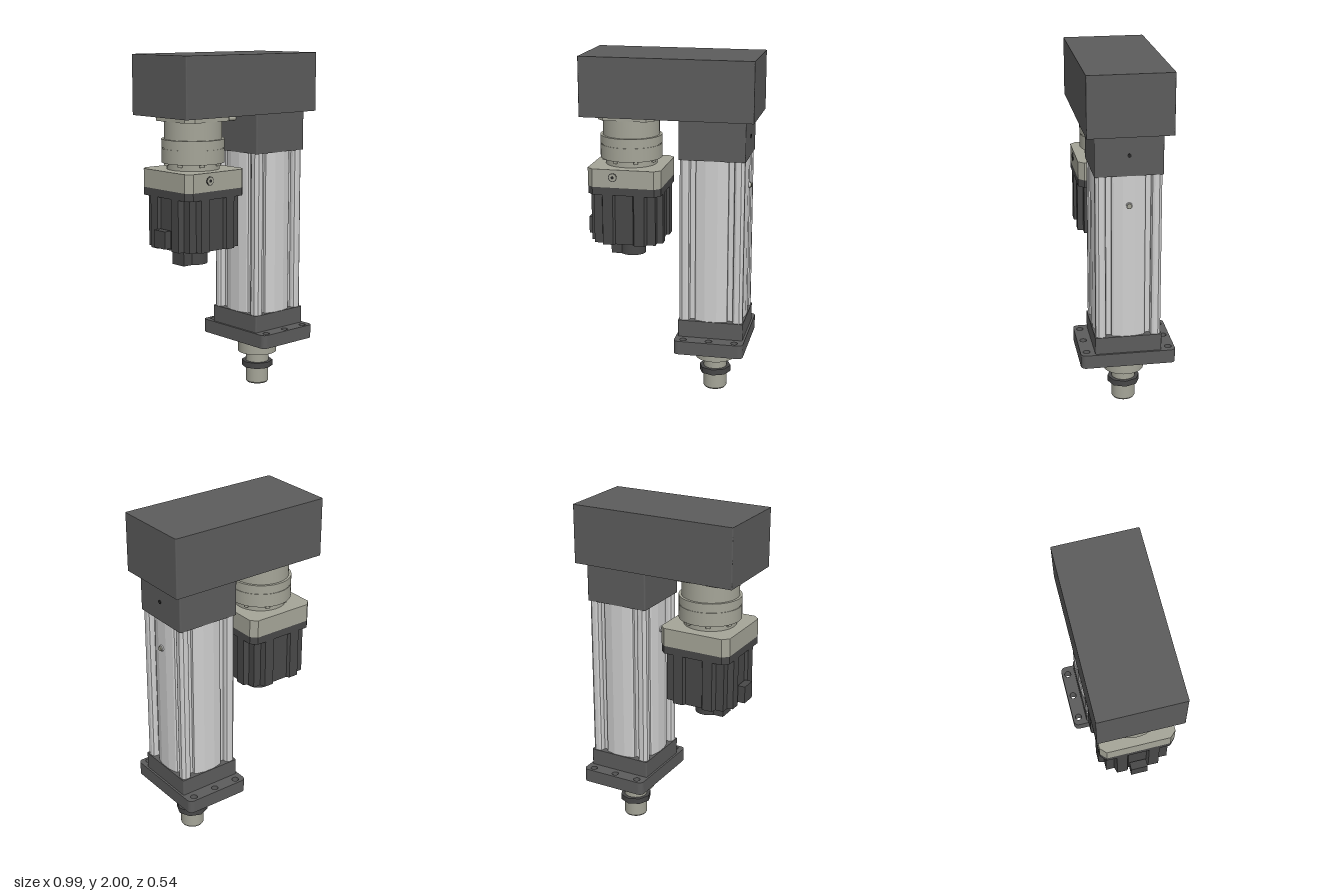
import * as THREE from 'three';

const mat = (name, color) => {
  const m = new THREE.MeshStandardMaterial({ color });
  m.name = name;
  return m;
};

export function createModel() {
  const root = new THREE.Group();
  root.name = 'electricActuator';
  const dark = mat('dark grey housing', 0x5c5c5c);
  const motor = mat('charcoal motor', 0x484848);
  const beige = mat('warm grey metal', 0xa5a598);
  const alu = mat('bright aluminium', 0xcfcfcf);
  const black = mat('black recess', 0x262626);

  const add = (parent, name, geo, material, x = 0, y = 0, z = 0) => {
    const m = new THREE.Mesh(geo, material);
    m.name = name;
    m.position.set(x, y, z);
    parent.add(m);
    return m;
  };
  const box = (p, name, w, y0, y1, d, material, x = 0, z = 0) =>
    add(p, name, new THREE.BoxGeometry(w, y1 - y0, d), material, x, (y0 + y1) / 2, z);
  const cyl = (p, name, r, y0, y1, material, x = 0, z = 0, seg = 48) =>
    add(p, name, new THREE.CylinderGeometry(r, r, y1 - y0, seg), material, x, (y0 + y1) / 2, z);
  // Plan outline extruded upward from y0 to y1
  const prism = (p, name, shape, y0, y1, material) => {
    const g = new THREE.ExtrudeGeometry(shape, { depth: y1 - y0, bevelEnabled: false, curveSegments: 10 });
    return add(p, name, g.rotateX(-Math.PI / 2), material, 0, y0, 0);
  };
  // Half of one side as [along, out], mirrored and turned around four sides
  const fourSided = (half) => {
    const side = [...half, ...half.slice().reverse().map(([u, d]) => [-u, d])];
    const pts = [];
    for (let k = 0; k < 4; k++) {
      for (const [u, d] of side) {
        pts.push(new THREE.Vector2(u, d).rotateAround(new THREE.Vector2(), (k * Math.PI) / 2));
      }
    }
    return new THREE.Shape(pts);
  };
  const roundRect = (w, h, r) => {
    const s = new THREE.Shape();
    s.absarc(w - r, h - r, r, 0, Math.PI / 2);
    s.absarc(-w + r, h - r, r, Math.PI / 2, Math.PI);
    s.absarc(-w + r, -h + r, r, Math.PI, Math.PI * 1.5);
    s.absarc(w - r, -h + r, r, Math.PI * 1.5, Math.PI * 2);
    s.closePath();
    return s;
  };

  // Belt drive housing
  prism(root, 'beltHousing', roundRect(0.495, 0.238, 0.006), 1.66, 2, dark);

  // Linear cylinder
  const cylinder = new THREE.Group();
  cylinder.name = 'linearCylinder';
  cylinder.position.x = 0.255;
  root.add(cylinder);
  prism(cylinder, 'upperBlock', roundRect(0.19, 0.19, 0.008), 1.43, 1.66, dark);
  prism(cylinder, 'lowerBlock', roundRect(0.19, 0.19, 0.008), 0.375, 0.475, dark);
  prism(cylinder, 'groovedBarrel', fourSided([
    [0.178, 0.178], [0.168, 0.185], [0.143, 0.185], [0.131, 0.178], [0.126, 0.165],
    [0.126, 0.148], [0.094, 0.148], [0.094, 0.165], [0.085, 0.172], [0.035, 0.185],
  ]), 0.475, 1.43, alu);

  // Mounting flange with through holes along both long edges
  const plate = roundRect(0.202, 0.272, 0.03);
  for (const x of [-0.15, 0, 0.15]) {
    for (const z of [-0.236, 0.236]) {
      const hole = new THREE.Path();
      hole.absarc(x, z, 0.02, 0, Math.PI * 2, true);
      plate.holes.push(hole);
    }
  }
  prism(cylinder, 'mountingFlange', plate, 0.295, 0.375, dark);
  for (let i = 0; i < 8; i++) {
    const a = ((i + 0.5) * Math.PI) / 4;
    cyl(cylinder, 'flangeScrewRecess', 0.011, 0.293, 0.296, black, 0.165 * Math.cos(a), 0.165 * Math.sin(a), 16);
  }

  // Rod guide and threaded rod end
  const profile = [[0, 0], [0.064, 0], [0.069, 0.008], [0.069, 0.178], [0.058, 0.182], [0.058, 0.2]];
  add(cylinder, 'rodEnd', new THREE.CylinderGeometry(0.069, 0.069, 0.172, 40), beige, 0, 0.094, 0);
  add(cylinder, 'rodChamfer', new THREE.LatheGeometry(
    profile.slice(0, 3).map(([r, y]) => new THREE.Vector2(r, y)), 40), beige);
  cyl(cylinder, 'rodNeck', 0.058, 0.18, 0.2, beige);
  cyl(cylinder, 'guideCollar', 0.117, 0.195, 0.295, beige);
  cyl(cylinder, 'lockNut', 0.094, 0.1, 0.135, motor, 0, 0, 8);

  // Side plugs, breather and vent tube
  for (const s of [-1, 1]) {
    const plug = cyl(cylinder, 'barrelPlug', 0.018, -0.006, 0.006, alu, s * 0.187, 0, 20);
    plug.rotation.z = Math.PI / 2;
    plug.position.y = 1.26;
  }
  const sensor = cyl(cylinder, 'plugHead', 0.014, -0.005, 0.005, beige, 0.196, 0, 20);
  sensor.rotation.z = Math.PI / 2;
  sensor.position.y = 1.26;
  const vent = cyl(cylinder, 'blockVent', 0.011, -0.004, 0.004, black, 0.19, 0, 16);
  vent.rotation.z = Math.PI / 2;
  vent.position.y = 1.545;
  const tube = cyl(cylinder, 'ventTube', 0.013, -0.045, 0.045, beige, -0.232, 0, 16);
  tube.rotation.z = Math.PI / 2;
  tube.position.y = 1.625;

  // Gearbox
  const drive = new THREE.Group();
  drive.name = 'gearMotor';
  drive.position.x = -0.25;
  root.add(drive);
  prism(drive, 'gearboxFlange', fourSided([[0.125, 0.164]]), 1.63, 1.66, beige);
  cyl(drive, 'gearboxNeck', 0.164, 1.53, 1.632, beige);
  cyl(drive, 'gearboxUpperRing', 0.179, 1.482, 1.53, beige);
  cyl(drive, 'gearboxSeam', 0.176, 1.476, 1.483, beige);
  cyl(drive, 'gearboxLowerRing', 0.179, 1.397, 1.477, beige);
  cyl(drive, 'gearboxFoot', 0.15, 1.355, 1.4, beige);
  for (let i = 0; i < 8; i++) {
    const a = ((i + 0.5) * Math.PI) / 4;
    cyl(drive, 'gearboxBolt', 0.014, 1.382, 1.4, beige, 0.158 * Math.cos(a), 0.158 * Math.sin(a), 12);
  }
  prism(drive, 'adapterPlate', fourSided([[0.18, 0.214]]), 1.255, 1.36, beige);
  const access = new THREE.Group();
  access.name = 'clampAccessPlug';
  access.position.set(-0.06, 1.315, 0.215);
  access.rotation.x = Math.PI / 2;
  drive.add(access);
  cyl(access, 'plugRim', 0.025, -0.004, 0.002, black, 0, 0, 24);
  cyl(access, 'plugFace', 0.021, -0.004, 0.003, beige, 0, 0, 24);
  cyl(access, 'plugSocket', 0.01, -0.004, 0.004, black, 0, 0, 6);

  // Motor with ribbed body, rear cap and connector
  prism(drive, 'motorFront', fourSided([[0.18, 0.213]]), 1.21, 1.255, motor);
  prism(drive, 'motorBody', fourSided([
    [0.18, 0.18], [0.132, 0.18], [0.122, 0.212], [0.062, 0.212], [0.052, 0.195],
  ]), 0.915, 1.21, motor);
  cyl(drive, 'rearCover', 0.098, 0.887, 0.917, motor);
  cyl(drive, 'encoderCap', 0.076, 0.815, 0.89, motor, 0.004);
  box(drive, 'cableOutlet', 0.08, 0.815, 0.916, 0.1, motor, -0.075);
  box(drive, 'sideConnector', 0.045, 0.93, 1.03, 0.096, motor, -0.226);

  return root;
}
